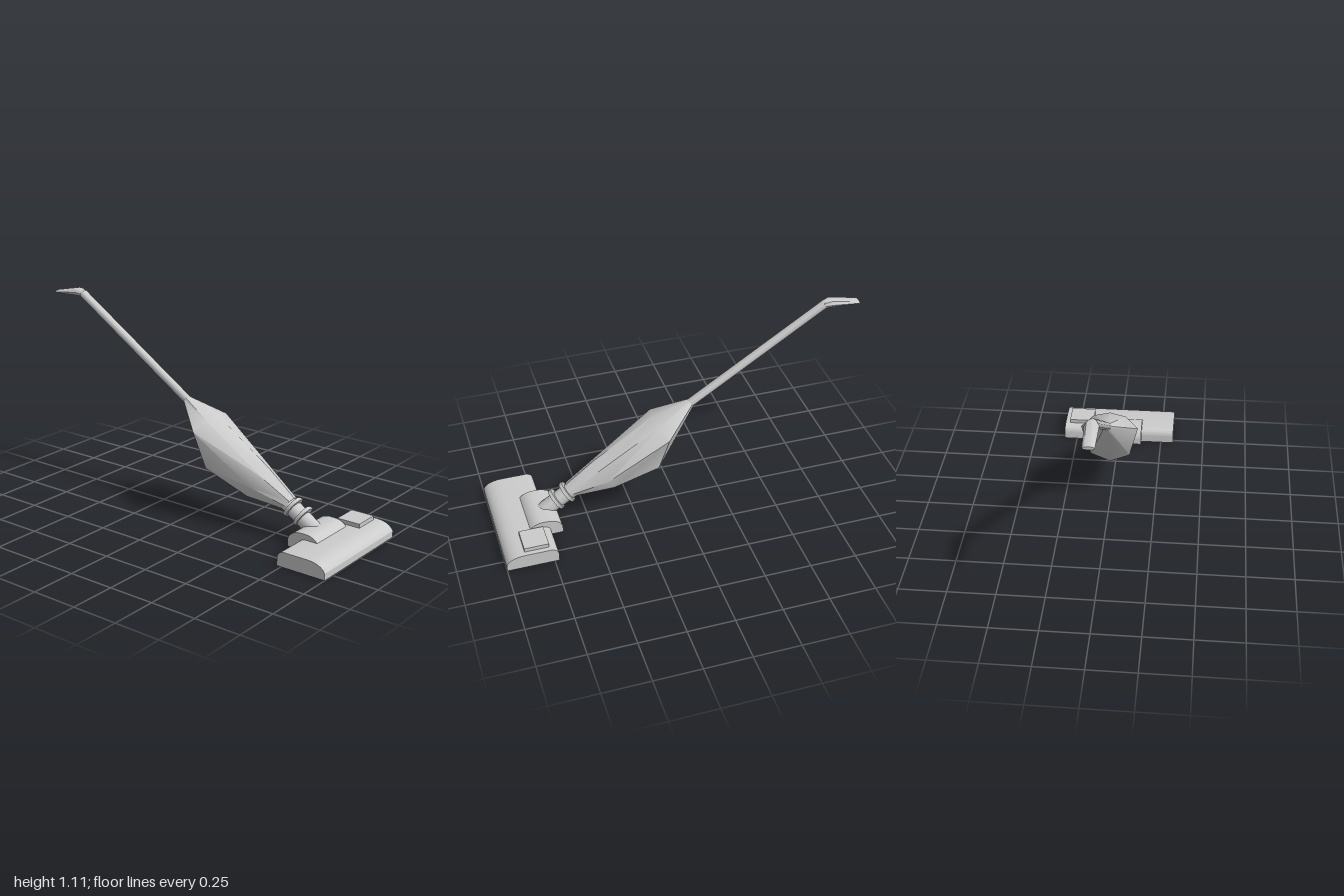
import * as THREE from 'three';
import { toCreasedNormals } from 'three/addons/utils/BufferGeometryUtils.js';

const TILT = 0.575; // lean of the wand axis
const material = new THREE.MeshStandardMaterial({ color: 0xcccccc });

function addMesh(group, name, geometry, crease = 0.85) {
  const mesh = new THREE.Mesh(toCreasedNormals(geometry, crease), material);
  mesh.name = name;
  group.add(mesh);
  return mesh;
}

// Eight-sided section centred at (0, y, z), tilted about x
function ring(y, z, w, h, tilt = TILT) {
  return Array.from({ length: 8 }, (_, i) => {
    const a = (i / 8) * Math.PI * 2;
    const up = h * Math.cos(a);
    return [w * Math.sin(a), y + up * Math.cos(tilt), z + up * Math.sin(tilt)];
  });
}

// Section from five points running top -> side -> bottom, mirrored in x
function mirroredRing(half) {
  return [...half, ...half.slice(1, 4).reverse().map(([x, y, z]) => [-x, y, z])];
}

// Skin through sections ordered from front to back, with closed ends
function loft(rings) {
  const n = rings[0].length, last = (rings.length - 1) * n, index = [];
  for (let i = 0; i < rings.length - 1; i++) {
    for (let j = 0; j < n; j++) {
      const a = i * n + j, b = i * n + ((j + 1) % n);
      index.push(a, b, a + n, b, b + n, a + n);
    }
  }
  for (let j = 1; j < n - 1; j++) {
    index.push(0, j + 1, j, last, last + j, last + j + 1);
  }
  const geometry = new THREE.BufferGeometry();
  geometry.setAttribute('position', new THREE.Float32BufferAttribute(rings.flat(2), 3));
  geometry.setIndex(index);
  return geometry;
}

// Extrude a (z, y) side profile across x
function sideExtrude(shape, width) {
  const geometry = new THREE.ExtrudeGeometry(shape, { depth: width, bevelEnabled: false, curveSegments: 8 });
  return geometry.translate(0, 0, -width / 2).rotateY(-Math.PI / 2);
}

export function createModel() {
  const group = new THREE.Group();

  // Floor head with rounded front
  const head = new THREE.Shape();
  head.moveTo(0.725, 0);
  head.lineTo(1, 0);
  head.lineTo(1, 0.035);
  head.quadraticCurveTo(0.98, 0.078, 0.9, 0.08);
  head.lineTo(0.765, 0.08);
  head.quadraticCurveTo(0.73, 0.077, 0.725, 0.045);
  addMesh(group, 'floorHead', sideExtrude(head, 0.644), 0.5);

  // Arched hub behind the head
  const hub = new THREE.Shape();
  hub.moveTo(0.66, 0.02);
  hub.lineTo(0.835, 0.02);
  hub.lineTo(0.835, 0.08);
  hub.quadraticCurveTo(0.81, 0.108, 0.77, 0.11);
  hub.lineTo(0.735, 0.11);
  hub.quadraticCurveTo(0.67, 0.104, 0.66, 0.055);
  addMesh(group, 'pivotHub', sideExtrude(hub, 0.27), 0.5);

  // Foot pedal
  const pedal = addMesh(group, 'pedal', new THREE.BoxGeometry(0.14, 0.035, 0.13));
  pedal.position.set(0.225, 0.0845, 0.835);

  // Neck and its two collars
  addMesh(group, 'neck', loft([ring(0.065, 0.755, 0.043, 0.043), ring(0.19, 0.565, 0.046, 0.043)]));
  for (const [y, z] of [[0.138, 0.66], [0.172, 0.6]]) {
    addMesh(group, 'collar', loft([
      ring(y - 0.005, z + 0.008, 0.06, 0.062),
      ring(y + 0.005, z - 0.008, 0.06, 0.062),
    ]));
  }

  // Body swelling towards the wand
  addMesh(group, 'body', loft([
    ring(0.185, 0.582, 0.046, 0.042),
    ring(0.25, 0.395, 0.082, 0.108),
    mirroredRing([
      [0, 0.565, 0.12], [0.085, 0.55, 0.11], [0.152, 0.5, 0.075],
      [0.105, 0.3, 0.12], [0, 0.255, 0.12],
    ]),
    ring(0.61, -0.088, 0.024, 0.022),
  ]), 0.7);

  // Wand
  addMesh(group, 'wand', loft([
    ring(0.6, -0.07, 0.024, 0.022),
    ring(1.083, -0.815, 0.024, 0.022),
  ]));

  // Bent grip
  addMesh(group, 'grip', loft([
    ring(1.079, -0.81, 0.025, 0.024),
    ring(1.086, -0.842, 0.035, 0.024, 0.15),
    ring(1.067, -0.998, 0.029, 0.009, 0),
  ]), 0.7);

  return group;
}
